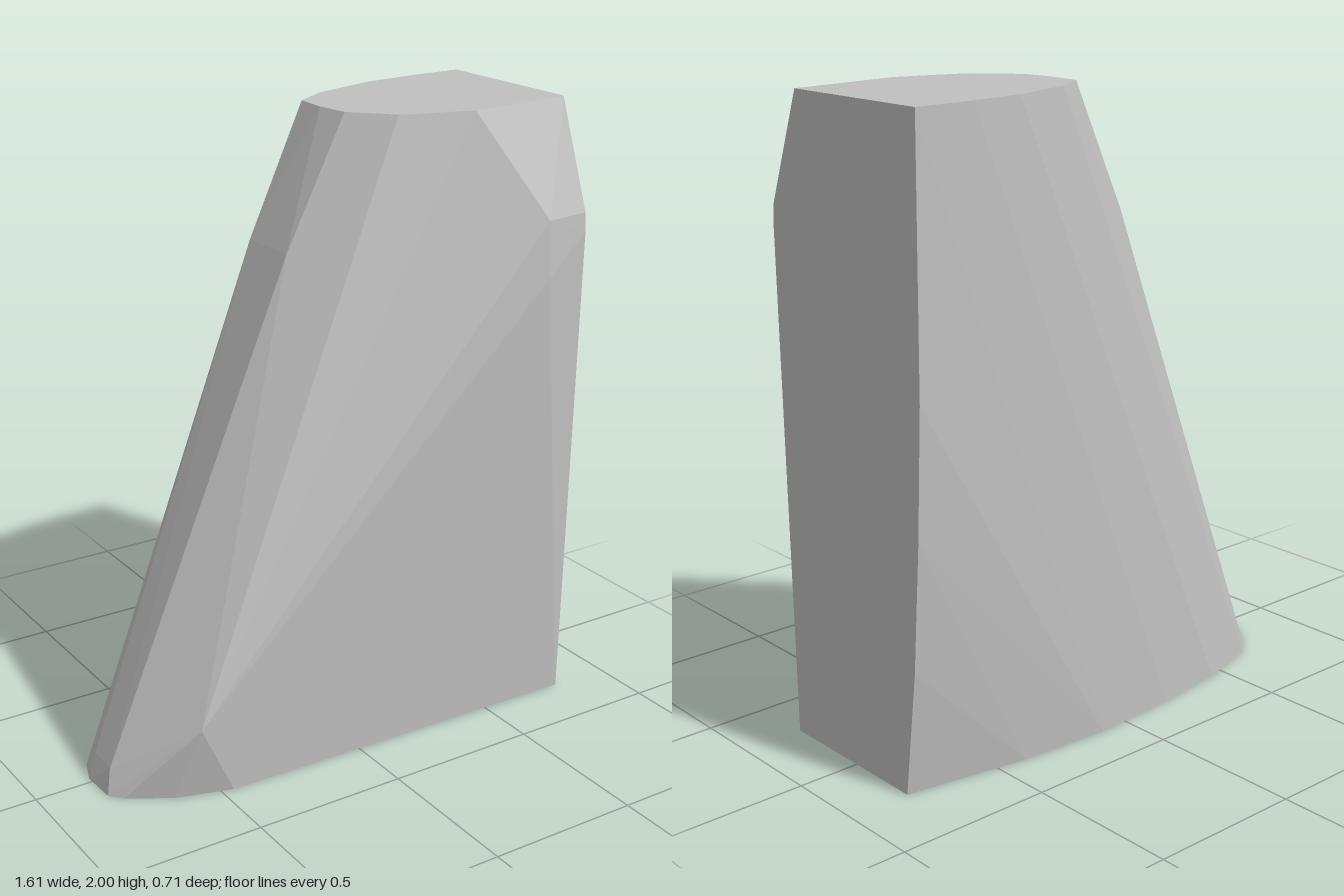
import * as THREE from 'three';
import { ConvexGeometry } from 'three/addons/geometries/ConvexGeometry.js';

// Each section lists [x, z] corners of the outline at one height.
const sections = [
  // foot outline
  { y: 0, outline: [[0.8, 0.3], [-0.46, 0.275], [-0.64, 0.22], [-0.77, 0.14], [-0.805, 0.1], [-0.81, -0.02],
    [-0.78, -0.1], [-0.73, -0.16], [-0.67, -0.215], [-0.45, -0.28], [-0.2, -0.315], [0.1, -0.335],
    [0.4, -0.315], [0.8, -0.25]] },
  // rounded toe
  { y: 0.08, outline: [[-0.785, 0.08], [-0.78, -0.03]] },
  { y: 0.24, outline: [[-0.57, 0.28]] },
  // curve of the rear edge
  { y: 0.4, outline: [[0.8, -0.3]] },
  { y: 0.8, outline: [[0.8, -0.33]] },
  { y: 1.2, outline: [[0.8, -0.35]] },
  // shoulder
  { y: 1.48, outline: [[0.64, 0.355]] },
  { y: 1.6, outline: [[0.8, 0.325], [-0.12, 0.05], [-0.12, -0.16]] },
  { y: 1.66, outline: [[0.64, 0.345], [0.8, 0.32]] },
  // top outline
  { y: 2, outline: [[0.8, 0.19], [0.43, 0.23], [0.27, 0.185], [0.2, 0.16], [0.09, 0.04], [0.075, -0.07],
    [0.08, -0.18], [0.2, -0.26], [0.42, -0.33], [0.6, -0.35], [0.8, -0.357]] },
];

export function createModel() {
  const group = new THREE.Group();
  group.name = 'taperedBlock';

  const grey = new THREE.MeshStandardMaterial({ color: 0xc0c0c0 });
  grey.name = 'plain grey';

  // One faceted solid stretched over all the sections
  const points = sections.flatMap(({ y, outline }) =>
    outline.map(([x, z]) => new THREE.Vector3(x, y, z)));
  const body = new THREE.Mesh(new ConvexGeometry(points), grey);
  body.name = 'body';
  group.add(body);

  return group;
}
